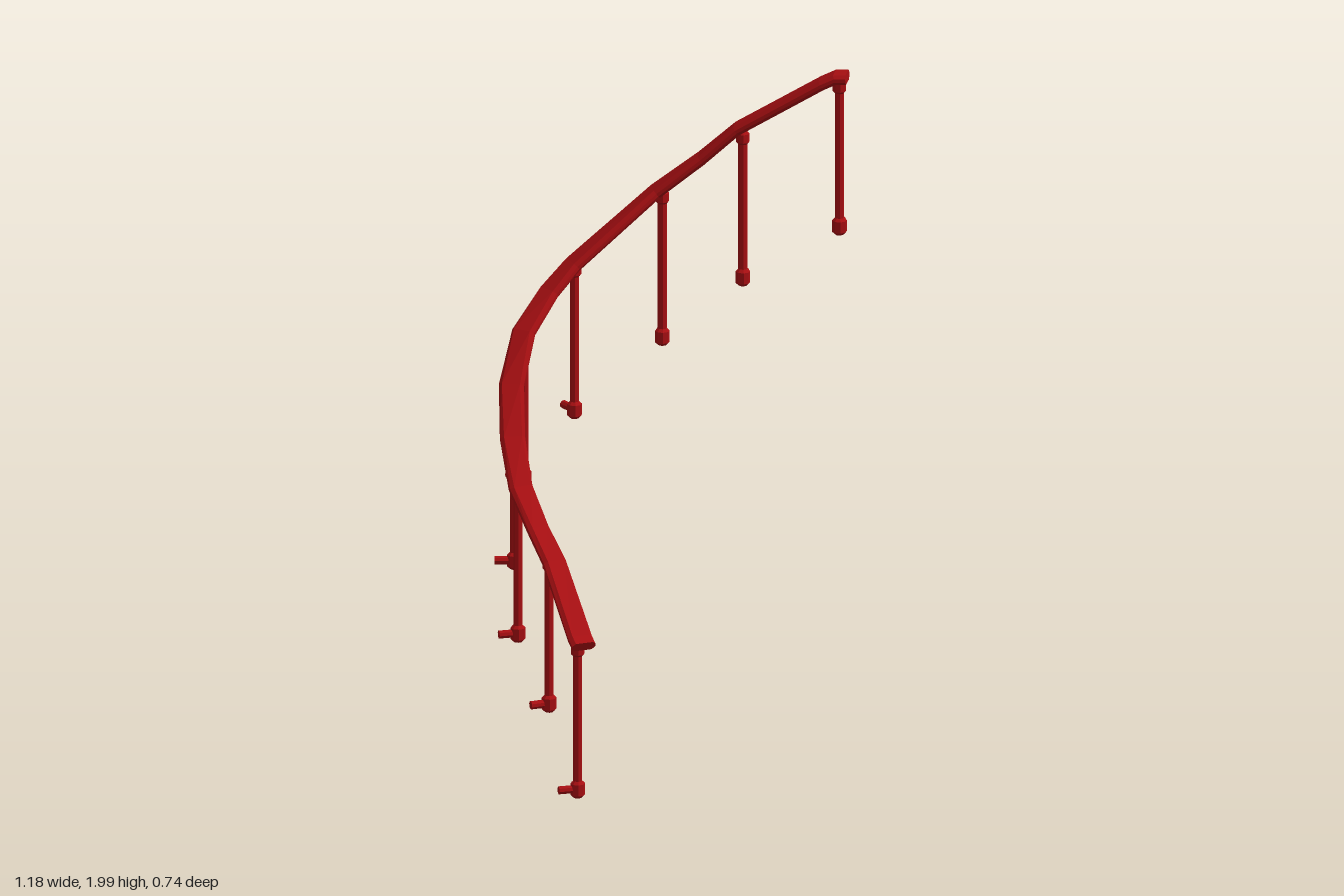
import * as THREE from 'three';

const material = new THREE.MeshStandardMaterial({ color: 0xa80f12, flatShading: true });
const UP = new THREE.Vector3(0, 1, 0);

// Centre line of the rail, from the low end to the high end
const path = [
  [-0.55, 0.48, 0.21], [-0.535, 0.495, 0.185], [-0.425, 0.665, 0.005], [-0.407, 0.75, -0.07],
  [-0.385, 0.855, -0.15], [-0.33, 0.98, -0.222], [-0.255, 1.11, -0.283], [-0.15, 1.24, -0.318],
  [-0.035, 1.335, -0.312], [0.045, 1.405, -0.285], [0.255, 1.605, -0.14], [0.335, 1.71, -0.03],
  [0.39, 1.805, 0.06], [0.505, 1.962, 0.287], [0.524, 1.982, 0.322], [0.54, 1.984, 0.352],
].map((p) => new THREE.Vector3(...p));

// Flat bevelled bar swept along the path, kept level from side to side
function sweepRail(points, halfWidth, halfThick, bevel) {
  const w = halfWidth, h = halfThick, b = bevel;
  const section = [
    [w, -h + b], [w, h - b], [w - b, h], [-w + b, h],
    [-w, h - b], [-w, -h + b], [-w + b, -h], [w - b, -h],
  ];
  const n = section.length, last = points.length - 1;
  const positions = [], index = [];
  points.forEach((p, i) => {
    const into = p.clone().sub(points[Math.max(i - 1, 0)]).normalize();
    const out = points[Math.min(i + 1, last)].clone().sub(p).normalize();
    const tangent = into.add(out).normalize();
    const side = tangent.clone().cross(UP).normalize();
    const normal = side.clone().cross(tangent);
    for (const [u, v] of section) {
      positions.push(...p.clone().addScaledVector(side, u).addScaledVector(normal, v).toArray());
    }
  });
  for (let i = 0; i < last; i++) {
    for (let j = 0; j < n; j++) {
      const a = i * n + j, c = a + n, k = i * n + ((j + 1) % n), d = k + n;
      index.push(a, c, k, k, c, d);
    }
  }
  // End caps
  for (let j = 1; j < n - 1; j++) {
    index.push(0, j, j + 1, last * n, last * n + j + 1, last * n + j);
  }
  const geometry = new THREE.BufferGeometry();
  geometry.setAttribute('position', new THREE.Float32BufferAttribute(positions, 3));
  geometry.setIndex(index);
  const flat = geometry.toNonIndexed();
  flat.computeVertexNormals();
  return flat;
}

// Chamfered collar used at both ends of a post
function collarGeometry(radius, height) {
  const h = height / 2, c = radius * 0.4;
  return new THREE.LatheGeometry([
    new THREE.Vector2(0, -h), new THREE.Vector2(radius - c, -h), new THREE.Vector2(radius, -h + c),
    new THREE.Vector2(radius, h - c), new THREE.Vector2(radius - c, h), new THREE.Vector2(0, h),
  ], 8);
}

const postGeometry = new THREE.CylinderGeometry(0.0135, 0.0135, 0.43, 8).translate(0, 0.215, 0);
const footGeometry = collarGeometry(0.022, 0.052);
const headGeometry = collarGeometry(0.02, 0.042);
const stubGeometry = new THREE.CylinderGeometry(0.0125, 0.0125, 0.058, 8).translate(0, 0.029, 0);

// Foot centre x, y, z and the outward heading x, z of the wall stub
const posts = [
  [-0.54, 0.03, 0.18, -0.045, -0.035], [-0.417, 0.222, -0.02, -0.05, -0.03],
  [-0.385, 0.402, -0.16, -0.045, -0.035], [-0.295, 0.587, -0.242, -0.035, -0.045],
  [-0.152, 0.792, -0.316, -0.005, -0.06], [0.046, 0.956, -0.28, 0.018, -0.055],
  [0.264, 1.157, -0.122, 0.045, -0.042], [0.395, 1.347, 0.076, 0.05, -0.03],
  [0.528, 1.522, 0.332, 0.052, -0.03],
];

function createPost([x, y, z, dx, dz]) {
  const group = new THREE.Group();
  group.name = 'railPost';
  const add = (name, geometry, height = 0) => {
    const mesh = new THREE.Mesh(geometry, material);
    mesh.name = name;
    mesh.position.y = height;
    group.add(mesh);
    return mesh;
  };
  add('postShaft', postGeometry);
  add('postFoot', footGeometry);
  add('postHead', headGeometry, 0.432);
  add('wallStub', stubGeometry).quaternion.setFromUnitVectors(UP, new THREE.Vector3(dx, 0, dz).normalize());
  group.position.set(x, y, z);
  return group;
}

export function createModel() {
  const model = new THREE.Group();
  model.name = 'curvedHandrail';
  const rail = new THREE.Mesh(sweepRail(path, 0.037, 0.015, 0.01), material);
  rail.name = 'handrail';
  model.add(rail);
  for (const post of posts) model.add(createPost(post));
  return model;
}
